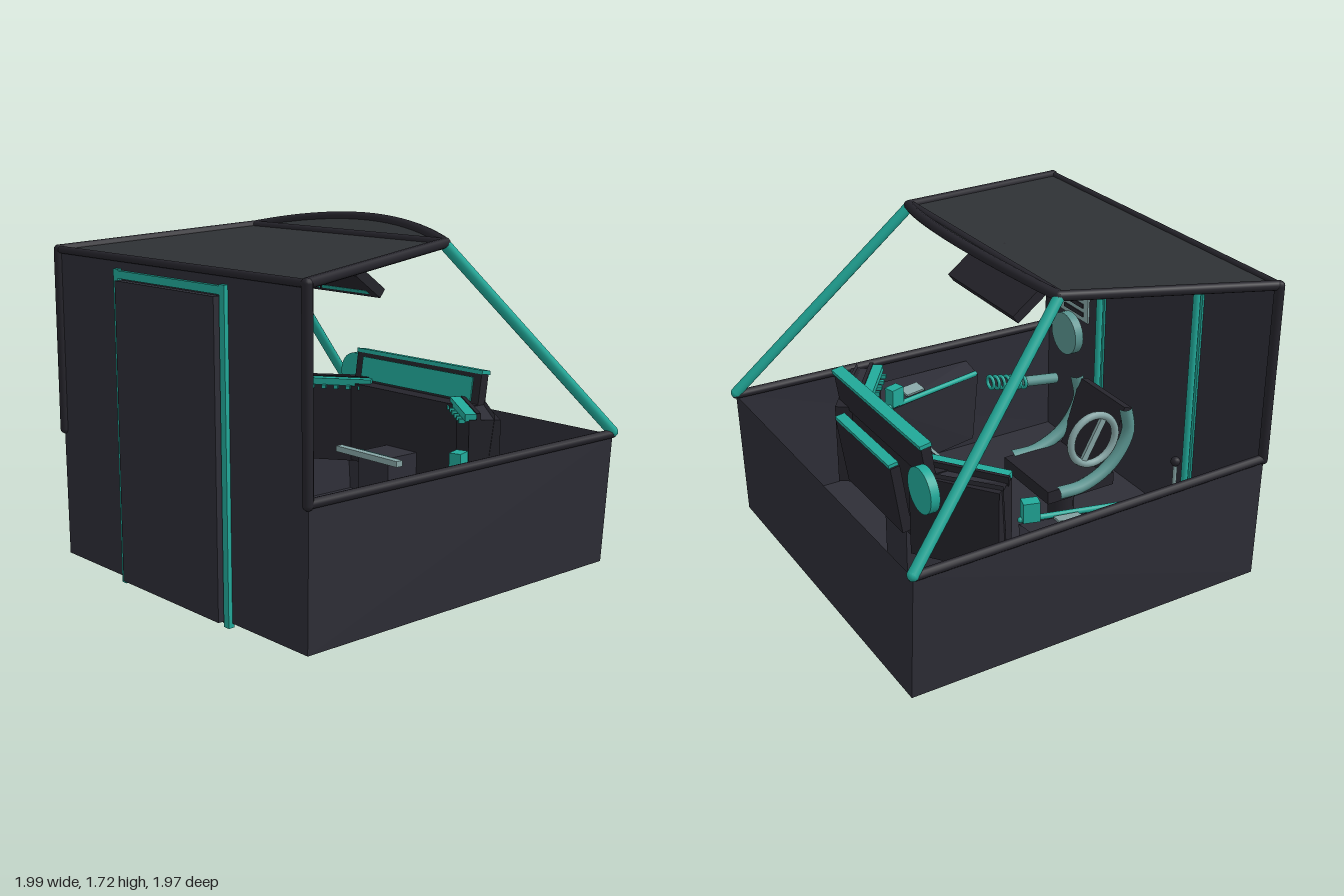
import * as THREE from 'three';

const mat = (name, color, side = THREE.FrontSide) => {
  const m = new THREE.MeshStandardMaterial({ color, side });
  m.name = name;
  return m;
};

export function createModel() {
  const root = new THREE.Group();
  root.name = 'controlCabin';
  const panel = mat('charcoalPanel', 0x2e2e37, THREE.DoubleSide);
  const roofMat = mat('roofGrey', 0x2e3134, THREE.DoubleSide);
  const dark = mat('darkFrame', 0x25242b);
  const teal = mat('teal', 0x22ab9b);
  const grey = mat('paleGrey', 0x86a5a5);
  const dullTeal = mat('dullTeal', 0x5a9490);

  const V = (p) => new THREE.Vector3(...p);
  const add = (name, geo, m, pos = [0, 0, 0], rot = [0, 0, 0]) => {
    const mesh = new THREE.Mesh(geo, m);
    mesh.name = name;
    mesh.position.set(...pos);
    mesh.rotation.set(...rot);
    root.add(mesh);
    return mesh;
  };
  const box = (name, size, pos, m, rot) => add(name, new THREE.BoxGeometry(...size), m, pos, rot);
  const rod = (name, a, b, r, m, caps = false) => {
    const d = V(b).sub(V(a));
    const mesh = add(name, new THREE.CylinderGeometry(r, r, d.length(), 12), m);
    mesh.position.copy(V(a)).addScaledVector(d, 0.5);
    mesh.quaternion.setFromUnitVectors(new THREE.Vector3(0, 1, 0), d.normalize());
    if (caps) for (const p of [a, b]) add(name + 'End', new THREE.SphereGeometry(r, 12, 8), m, p);
  };
  const tube = (name, pts, r, m) =>
    add(name, new THREE.TubeGeometry(new THREE.CatmullRomCurve3(pts.map(V)), 20, r, 10), m);
  // flat convex sheet through its corners
  const sheet = (name, pts, m) => {
    const g = new THREE.BufferGeometry();
    g.setAttribute('position', new THREE.Float32BufferAttribute(pts.flat(), 3));
    const idx = [];
    for (let i = 1; i < pts.length - 1; i++) idx.push(0, i, i + 1);
    g.setIndex(idx);
    const flat = g.toNonIndexed();
    flat.computeVertexNormals();
    return add(name, flat, m);
  };

  // open tub with the tall entrance wall
  const F = 0.94, B = -0.96, rim = 0.67;
  sheet('floor', [[-0.925, 0.02, B], [0.925, 0.02, B], [0.925, 0.02, F], [-0.925, 0.02, F]], panel);
  sheet('backWall', [[0.925, 0.02, B], [-0.925, 0.02, B], [-0.97, rim, B], [0.97, rim, B]], panel);
  sheet('entranceWall', [[-0.925, 0.02, F], [0.925, 0.02, F], [0.935, rim, F], [0.935, 1.55, F],
    [-0.935, 1.55, F], [-0.935, rim, F]], panel);

  // roof and the arched visor behind it
  sheet('roof', [[-0.93, 1.55, F], [0.93, 1.55, F], [0.68, 1.63, -0.07], [-0.68, 1.63, -0.07]], roofMat);
  const arc = [];
  for (let i = 0; i <= 12; i++) {
    const t = i / 6 - 1, k = 1 - t * t;
    arc.push([0.68 * t, 1.63 + 0.07 * k, -0.08 - 0.135 * k]);
  }
  for (let i = 0; i < 12; i++) {
    const [a, b] = [arc[i], arc[i + 1]];
    sheet('visorPanel', [[a[0], 1.63, -0.07], [b[0], 1.63, -0.07], b, a], roofMat);
  }
  tube('visorArch', arc, 0.024, dark);
  rod('roofBackEdge', [-0.68, 1.63, -0.07], [0.68, 1.63, -0.07], 0.022, dark);
  rod('roofFrontEdge', [-0.93, 1.55, F], [0.93, 1.55, F], 0.018, dark);

  for (const s of [-1, 1]) {
    // side walls and frame tubes
    sheet('sideWall', [[s * 0.925, 0.02, F], [s * 0.925, 0.02, B], [s * 0.97, rim, B], [s * 0.935, rim, F]], panel);
    rod('sideRim', [s * 0.93, 0.665, F], [s * 0.968, 0.675, B], 0.022, dark, true);
    rod('cornerPost', [s * 0.93, 0.66, F], [s * 0.93, 1.55, F], 0.024, dark, true);
    rod('roofSideEdge', [s * 0.925, 1.55, F], [s * 0.68, 1.63, -0.08], 0.024, dark, true);
    rod('rearStrut', [s * 0.68, 1.62, -0.08], [s * 0.97, 0.685, B], 0.027, teal, true);

    // door frame, outside and inside
    box('doorPost', [0.036, 1.5, 0.03], [s * 0.402, 0.75, 0.945], teal);
    rod('innerDoorPost', [s * 0.4, 0.03, 0.91], [s * 0.4, 1.48, 0.91], 0.018, teal);
    box('ceilingLamp', [0.2, 0.03, 0.11], [s * 0.4, 1.545, 0.5], teal);

    // angled wing console with teal top and buttons
    const a = -s * 0.634, c = Math.cos(0.634), n = Math.sin(0.634);
    const at = (u, y, w) => [s * (0.48 + u * c + w * n), y, -0.425 + u * n - w * c];
    box('wingConsole', [0.44, 0.42, 0.15], at(0, 0.575, 0.065), dark, [0, a, 0]);
    box('wingScreen', [0.43, 0.035, 0.055], at(0, 0.795, 0), teal, [0, a, 0]);
    box('wingScreenEdge', [0.45, 0.045, 0.02], at(0, 0.795, 0.035), dark, [0, a, 0]);
    for (let i = 0; i < 6; i++)
      box('wingButton', [0.02, 0.02, 0.03], at(-0.16 + i * 0.065, 0.77, -0.035), teal, [0, a, 0]);
    sheet('wingShroud', [[s * 0.46, 0.81, -0.6], [s * 0.73, 0.81, -0.38], [s * 0.7, 0.4, -0.34], [s * 0.44, 0.4, -0.56]], panel);
    sheet('wingTop', [[s * 0.46, 0.785, -0.6], [s * 0.73, 0.785, -0.38], [s * 0.65, 0.785, -0.3], [s * 0.34, 0.785, -0.55]], panel);

    // low side console with teal edge
    sheet('sideConsoleTop', [[s * 0.65, 0.53, -0.25], [s * 0.79, 0.53, 0.38], [s * 0.92, 0.56, 0.38], [s * 0.92, 0.56, -0.25]], panel);
    sheet('sideConsoleFace', [[s * 0.65, 0.53, -0.25], [s * 0.79, 0.53, 0.38], [s * 0.85, 0.1, 0.38], [s * 0.72, 0.1, -0.25]], panel);
    rod('sideConsoleEdge', [s * 0.65, 0.55, -0.24], [s * 0.79, 0.54, 0.36], 0.014, teal, true);
    box('sideKeys', [0.07, 0.012, 0.12], [s * 0.76, 0.56, -0.05], grey, [0, s * 0.2, s * 0.2]);
    box('sideDisplay', [0.06, 0.1, 0.08], [s * 0.67, 0.6, -0.2], teal, [0, s * 0.3, 0]);

    // seat side tubes
    tube('seatTube', [[s * 0.22, 0.7, 0.65], [s * 0.22, 0.56, 0.67], [s * 0.22, 0.4, 0.57],
      [s * 0.22, 0.32, 0.4], [s * 0.22, 0.32, 0.25]], 0.034, dullTeal);
  }

  // door
  box('door', [0.75, 1.43, 0.035], [0, 0.735, 0.965], panel);
  box('doorLintel', [0.84, 0.036, 0.03], [0, 1.475, 0.945], teal);
  rod('innerDoorLintel', [-0.4, 1.475, 0.91], [0.4, 1.475, 0.91], 0.02, teal, true);
  box('doorStop', [0.06, 0.012, 0.07], [0.32, 0.015, 0.9], dark, [0, 0, -0.25]);

  // seat
  box('seatBack', [0.4, 0.42, 0.05], [0, 0.48, 0.62], dark, [0.3, 0, 0]);
  box('seatCushion', [0.42, 0.07, 0.4], [0, 0.3, 0.4], dark);
  rod('seatPedestal', [0, 0.02, 0.42], [0, 0.28, 0.42], 0.07, dark);

  // centre console
  box('consoleBody', [0.9, 0.42, 0.12], [0, 0.58, -0.54], dark);
  box('consoleScreen', [0.9, 0.18, 0.05], [0, 0.86, -0.6], dark, [-0.15, 0, 0]);
  box('consoleScreenTop', [0.91, 0.02, 0.06], [0, 0.945, -0.615], teal, [-0.15, 0, 0]);
  box('consoleScreenFace', [0.8, 0.12, 0.008], [0, 0.86, -0.572], teal, [-0.15, 0, 0]);
  box('consoleRearCover', [0.58, 0.36, 0.05], [0, 0.6, -0.66], dark, [-0.15, 0, 0]);
  box('consoleRearBar', [0.56, 0.02, 0.05], [0, 0.785, -0.69], teal, [-0.15, 0, 0]);
  box('consoleColumn', [0.22, 0.48, 0.27], [0, 0.26, -0.415], panel);
  box('consoleLip', [0.22, 0.02, 0.02], [0, 0.5, -0.28], teal);
  box('keyboard', [0.45, 0.03, 0.04], [0, 0.5, -0.25], grey);

  // round instruments
  const flat = [Math.PI / 2, 0, 0];
  add('rearDial', new THREE.CylinderGeometry(0.11, 0.11, 0.045, 28), teal, [-0.56, 0.8, -0.685], flat);
  add('wallDial', new THREE.CylinderGeometry(0.12, 0.12, 0.05, 28), dullTeal, [0.62, 0.74, 0.855], flat);

  // hand wheel
  add('handWheel', new THREE.TorusGeometry(0.115, 0.017, 10, 32), grey, [-0.915, 1.035, -0.04], [0, Math.PI / 2, 0]);
  box('handWheelBar', [0.015, 0.225, 0.03], [-0.915, 1.035, -0.04], grey, [0.5, 0, 0]);

  // hanging screen
  box('hangingScreen', [0.6, 0.05, 0.19], [0, 1.425, 0.02], dark, [-0.64 + Math.PI * 2, 0, 0].map((v, i) => (i ? v : -0.64)));
  box('hangingScreenTrim', [0.5, 0.008, 0.03], [0, 1.375, -0.01], teal, [-0.64, 0, 0]);
  rod('screenHanger', [0, 1.37, 0.065], [0, 1.62, 0.065], 0.005, dark);

  // sign and vent on the inside of the entrance wall
  box('wallSign', [0.32, 0.15, 0.012], [0.66, 1.24, 0.93], teal);
  box('wallSignLabel', [0.05, 0.13, 0.008], [0.74, 1.24, 0.921], dullTeal);
  box('ventBack', [0.26, 0.34, 0.012], [0.66, 0.98, 0.93], grey);
  for (let i = 0; i < 6; i++)
    box('ventSlot', [0.18, 0.024, 0.008], [0.66, 0.85 + i * 0.05, 0.921], dark);

  // wall rail with brackets, lever and coiled cable
  for (const x of [-0.9, -0.87]) rod('wallRail', [x, 0.6, -0.58], [x, 0.6, 0.85], 0.008, dark);
  for (const z of [-0.57, -0.26, 0.05, 0.37, 0.68])
    box('railBracket', [0.05, 0.02, 0.015], [-0.885, 0.605, z], grey);
  rod('lever', [-0.76, 0.5, 0.55], [-0.76, 0.69, 0.55], 0.01, grey);
  add('leverKnob', new THREE.SphereGeometry(0.024, 12, 8), dark, [-0.76, 0.68, 0.55]);
  for (let i = 0; i < 7; i++)
    add('cableCoil', new THREE.TorusGeometry(0.035, 0.01, 8, 14), teal, [0.72, 0.5 - i * 0.008, 0.42 + i * 0.035]);
  rod('cableEnd', [0.72, 0.45, 0.64], [0.72, 0.42, 0.85], 0.03, dullTeal);

  return root;
}
